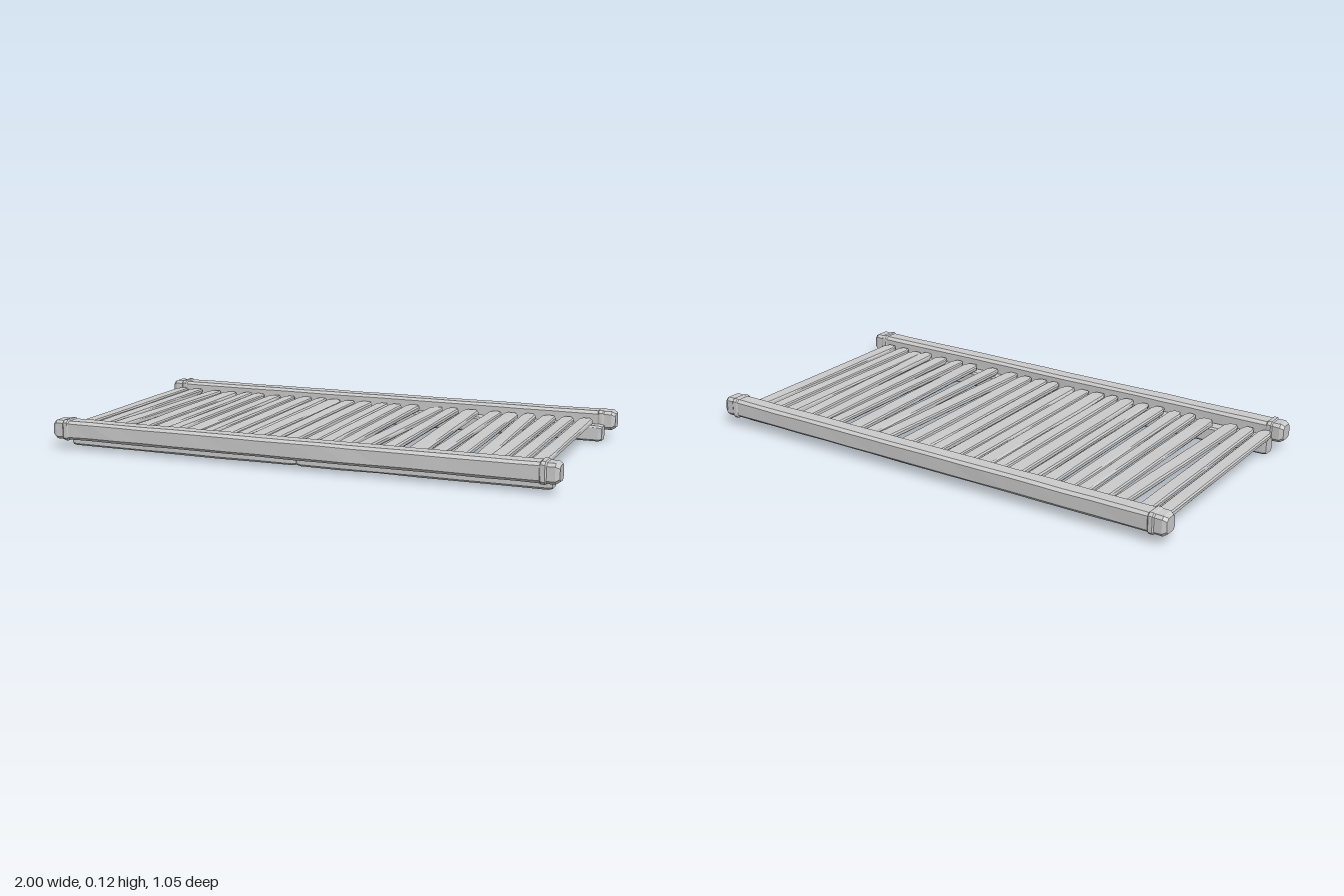
import * as THREE from 'three';

const material = new THREE.MeshStandardMaterial({ color: 0xcccccc, flatShading: true });

// Small seeded generator, returns -1..1
let seed = 7;
const rand = () => {
  seed = (seed * 16807) % 2147483647;
  return (seed / 2147483647) * 2 - 1;
};

// Hewn timber along x: chamfered rectangular rings lofted through stations.
// Each station is [x, width scale, height scale].
function timber(stations, width, height, chamfer, rough) {
  const pos = [], index = [], n = 8;
  for (const [x, sw, sh] of stations) {
    const a = (width / 2) * sw, b = (height / 2) * sh, c = chamfer;
    const ring = [[b - c, a], [b, a - c], [b, c - a], [b - c, -a], [c - b, -a], [-b, c - a], [-b, a - c], [c - b, a]];
    for (const [y, z] of ring) pos.push(x, y + rand() * rough, z + rand() * rough);
  }
  const last = stations.length - 1;
  for (let s = 0; s < last; s++) {
    for (let i = 0; i < n; i++) {
      const p = s * n + i, q = s * n + ((i + 1) % n);
      index.push(p, p + n, q, q, p + n, q + n);
    }
  }
  // End grain
  for (let i = 1; i < n - 1; i++) {
    index.push(0, i, i + 1);
    index.push(last * n, last * n + i + 1, last * n + i);
  }
  const g = new THREE.BufferGeometry();
  g.setAttribute('position', new THREE.Float32BufferAttribute(pos, 3));
  g.setIndex(index);
  const flat = g.toNonIndexed();
  flat.computeVertexNormals();
  return flat;
}

function add(group, name, geometry, x, y, z) {
  const mesh = new THREE.Mesh(geometry, material);
  mesh.name = name;
  mesh.position.set(x, y, z);
  group.add(mesh);
  return mesh;
}

// Even stations from x0 to x1 with slightly pinched ends
function beamStations(x0, x1, count, end, endScale) {
  const list = [[x0, endScale, 0.9]];
  for (let i = 0; i <= count; i++) {
    list.push([x0 + end + ((x1 - x0 - 2 * end) * i) / count, 1, 1]);
  }
  list.push([x1, endScale, 0.9]);
  return list;
}

// Slat x at the back, x at the front, width
const SLATS = [
  [-0.94, -0.94, 0.055], [-0.87, -0.87, 0.055], [-0.77, -0.805, 0.058], [-0.695, -0.695, 0.065],
  [-0.62, -0.62, 0.05], [-0.56, -0.56, 0.055], [-0.48, -0.48, 0.058], [-0.41, -0.41, 0.05],
  [-0.335, -0.335, 0.065], [-0.265, -0.265, 0.052], [-0.2, -0.2, 0.064], [-0.13, -0.13, 0.058],
  [-0.06, -0.06, 0.064], [0.02, 0.02, 0.055], [0.08, 0.08, 0.06], [0.155, 0.155, 0.06],
  [0.265, 0.23, 0.062], [0.33, 0.33, 0.055], [0.41, 0.44, 0.068], [0.515, 0.515, 0.055],
  [0.58, 0.6, 0.06], [0.655, 0.69, 0.058], [0.74, 0.74, 0.06], [0.815, 0.815, 0.055],
  [0.89, 0.89, 0.058],
];

export function createModel() {
  seed = 7;
  const model = new THREE.Group();
  model.name = 'slattedDeck';

  // Side rails with raised collars and rounded end blocks
  const half = [[1, 0.78, 0.78], [0.985, 1, 1], [0.955, 1, 1], [0.95, 1.1, 1.1], [0.935, 1.1, 1.1], [0.93, 1, 1]];
  const railStations = half.map(([x, w, h]) => [-x, w, h]);
  for (let i = -7; i <= 7; i++) railStations.push([i * 0.12, 0.99, 0.99]);
  railStations.push(...half.slice().reverse());

  for (const [side, s] of [['front', 1], ['back', -1]]) {
    add(model, side + 'Rail', timber(railStations, 0.074, 0.074, 0.011, 0.001), 0, 0.077, s * 0.483);
    // Lower support beam, two lengths butted at the middle
    for (const [part, x0, x1] of [['Right', -0.96, -0.001], ['Left', 0.001, 0.96]]) {
      add(model, side + part + 'Support', timber(beamStations(x0, x1, 6, 0.015, 0.9), 0.059, 0.062, 0.007, 0.0012), 0, 0.0335, s * 0.417);
    }
  }

  // Cross slats with clipped ends, some laid askew
  SLATS.forEach(([back, front, width], i) => {
    const z0 = -0.437 + rand() * 0.009, z1 = 0.432 + rand() * 0.009;
    const stations = beamStations(z0, z1, 4, 0.028, 0.62);
    const slat = add(model, 'slat' + (i + 1), timber(stations, width, 0.021, 0.005, 0.001), (back + front) / 2, 0.0765, 0);
    slat.rotation.y = -Math.PI / 2 + Math.atan2(front - back, 0.87);
  });

  return model;
}
